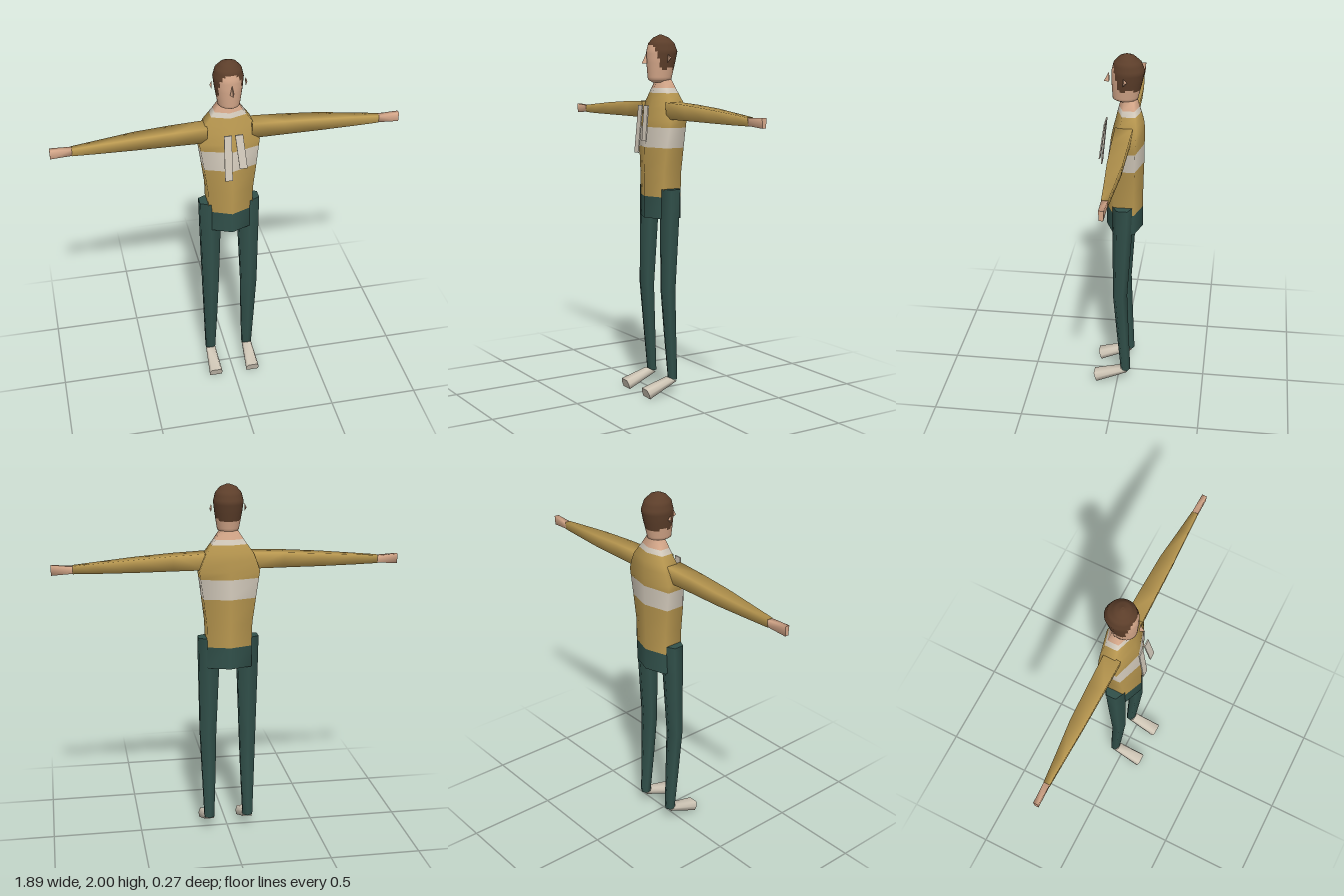
import * as THREE from 'three';
import { ConvexGeometry } from 'three/addons/geometries/ConvexGeometry.js';

const mat = (name, color) => {
  const m = new THREE.MeshStandardMaterial({ color });
  m.name = name;
  return m;
};

// Skin cross-section rings into a closed, smooth body. Rings turn
// counter-clockwise about the direction they run in; pick(row, column) gives
// the material index of each face.
function loft(rings, pick = () => 0, count = 1) {
  const n = rings[0].length;
  const pos = rings.flat(2);
  const lists = Array.from({ length: count }, () => []);
  for (let i = 0; i < rings.length - 1; i++) {
    for (let j = 0; j < n; j++) {
      const k = (j + 1) % n;
      const a = i * n + j, b = i * n + k, c = a + n, d = b + n;
      lists[pick(i, j)].push(a, b, d, a, d, c);
    }
  }
  // End caps with their own vertices
  [0, rings.length - 1].forEach((row) => {
    const base = pos.length / 3;
    pos.push(...rings[row].flat());
    const list = lists[pick(row ? row - 1 : 0, 0)];
    for (let k = 1; k < n - 1; k++) {
      if (row) list.push(base, base + k, base + k + 1);
      else list.push(base, base + k + 1, base + k);
    }
  });
  const geo = new THREE.BufferGeometry();
  geo.setAttribute('position', new THREE.Float32BufferAttribute(pos, 3));
  geo.setIndex(lists.flat());
  let start = 0;
  if (count > 1) lists.forEach((l, m) => { geo.addGroup(start, l.length, m); start += l.length; });
  geo.computeVertexNormals();
  return geo;
}

function add(parent, name, geo, material) {
  const mesh = new THREE.Mesh(geo, material);
  mesh.name = name;
  parent.add(mesh);
  return mesh;
}

const hull = (points) => new ConvexGeometry(points.map((p) => new THREE.Vector3(...p)));

export function createModel() {
  const sweater = mat('mustard wool', 0xb99850);
  const cream = mat('cream wool', 0xd6cdbe);
  const trousers = mat('dark green cloth', 0x31504a);
  const skin = mat('skin', 0xd6a88a);
  const hair = mat('brown hair', 0x5c3e2a);
  const shoeMat = mat('pale shoe', 0xcfc6b6);

  const model = new THREE.Group();
  model.name = 'figure';

  // Torso: six-sided rings [y, half width, front z, back z, colour above]
  const torsoRows = [
    [1.0, 0.121, 0.07, -0.13, 0],
    [1.12, 0.121, 0.07, -0.13, 1],
    [1.25, 0.125, 0.07, -0.13, 1],
    [1.39, 0.143, 0.065, -0.134, 2],
    [1.5, 0.158, 0.05, -0.135, 1],
    [1.54, 0.164, 0.044, -0.135, 1],
    [1.6, 0.143, 0.031, -0.135, 1],
    [1.64, 0.127, 0.02, -0.13, 1],
    [1.685, 0.095, 0.01, -0.117, 2],
    [1.712, 0.076, 0.003, -0.108, 3],
    [1.757, 0.048, -0.01, -0.095, 3],
  ];
  const torsoRings = torsoRows.map(([y, w, f, b]) => {
    const fc = f - 0.26 * (f - b), bc = b + 0.19 * (f - b);
    return [[0, y, f], [w, y, fc], [w, y, bc], [0, y, b], [-w, y, bc], [-w, y, fc]];
  });
  add(model, 'torso', loft(torsoRings, (i) => torsoRows[i][4], 4), [trousers, sweater, cream, skin]);

  // Head: oval rings [y, half width, front z, back z], split finely for the hairline
  const headRows = [
    [1.742, 0.03, 0.01, -0.07],
    [1.758, 0.058, 0.036, -0.098],
    [1.81, 0.067, 0.04, -0.11],
    [1.86, 0.075, 0.043, -0.122],
    [1.91, 0.081, 0.042, -0.132],
    [1.955, 0.07, 0.031, -0.115],
    [1.985, 0.045, 0.003, -0.08],
    [2.0, 0.008, -0.03, -0.046],
  ];
  const fine = [];
  headRows.forEach((row, i) => {
    const next = headRows[i + 1];
    for (let s = 0; s < (next ? 4 : 1); s++) {
      fine.push(next ? row.map((v, k) => THREE.MathUtils.lerp(v, next[k], s / 4)) : row);
    }
  });
  const SEG = 32;
  const headRings = fine.map(([y, w, f, b]) => Array.from({ length: SEG }, (_, j) => {
    const t = (j / SEG) * Math.PI * 2;
    return [w * Math.sin(t), y, (f + b) / 2 + ((f - b) / 2) * Math.cos(t)];
  }));
  // Hairline height by angle away from the front
  const line = [[0, 1.95], [0.5, 1.935], [0.8, 1.9], [1.0, 1.835], [1.2, 1.805], [1.6, 1.82], [3.2, 1.81]];
  const hairline = (a) => {
    const k = line.findIndex((p) => p[0] > a);
    const [p, q] = [line[k - 1], line[k]];
    return THREE.MathUtils.mapLinear(a, p[0], q[0], p[1], q[1]);
  };
  const headPick = (i, j) => {
    const t = ((j + 0.5) / SEG) * Math.PI * 2;
    const y = (fine[i][0] + fine[i + 1][0]) / 2;
    return y > hairline(Math.min(t, Math.PI * 2 - t)) ? 1 : 0;
  };
  add(model, 'head', loft(headRings, headPick, 2), [skin, hair]);
  add(model, 'nose', hull([[0, 1.9, 0.055], [0, 1.846, 0.083], [-0.011, 1.846, 0.055], [0.011, 1.846, 0.055]]), skin);

  // Loose scarf ends hanging in front of the chest
  const strip = (name, x0, x1, shift, low) => {
    const pts = [];
    [0, 0.007].forEach((t) => [x0, x1].forEach((x) => {
      pts.push([x, 1.62, 0.071 + t], [x + shift, low, 0.097 + t]);
    }));
    add(model, name, hull(pts), cream);
  };
  strip('rightScarfEnd', -0.047, -0.006, 0, 1.36);
  strip('leftScarfEnd', 0.012, 0.054, 0.02, 1.428);

  // Limb sections
  const armRing = ([x, top, low, f, b]) => {
    const inset = (f - b) * 0.12;
    return [[x, top, f], [x, low, f - inset], [x, low, b + inset], [x, top, b]];
  };
  const legRing = ([y, cx, w, f, b]) => Array.from({ length: 6 }, (_, j) => {
    const t = (j / 6) * Math.PI * 2;
    return [cx + (w / 0.866) * Math.sin(t), y, (f + b) / 2 + ((f - b) / 2) * Math.cos(t)];
  });
  const shoeRing = ([z, lean, w, low, top]) => [
    [w, 0.5], [w * 0.72, 1], [-w * 0.72, 1], [-w, 0.5], [-w * 0.9, 0], [w * 0.9, 0],
  ].map(([x, h]) => [0.111 + x, low + (top - low) * h, z + lean * h]);

  [['left', 1], ['right', -1]].forEach(([side, sign]) => {
    const limbs = new THREE.Group();
    limbs.name = side + 'Side';
    limbs.scale.x = sign;
    model.add(limbs);

    // Sleeve: [x, top, bottom, front z, back z]
    add(limbs, side + 'Sleeve', loft([
      [0.12, 1.637, 1.546, 0.01, -0.085],
      [0.3, 1.63, 1.546, 0.006, -0.082],
      [0.5, 1.617, 1.545, 0.001, -0.078],
      [0.7, 1.6, 1.544, -0.01, -0.06],
      [0.83, 1.588, 1.545, -0.016, -0.05],
    ].map(armRing)), sweater);
    add(limbs, side + 'Hand', loft([
      [0.828, 1.586, 1.547, -0.017, -0.049],
      [0.944, 1.592, 1.54, -0.018, -0.045],
    ].map(armRing)), skin);

    // Trouser leg: [y, centre x, half width, front z, back z]
    add(limbs, side + 'Leg', loft([
      [0.088, 0.111, 0.027, -0.02, -0.077],
      [0.35, 0.111, 0.037, 0.004, -0.066],
      [0.6, 0.112, 0.045, 0.025, -0.057],
      [1.0, 0.108, 0.056, 0.025, -0.082],
      [1.165, 0.108, 0.058, 0.025, -0.09],
    ].map(legRing)), trousers);

    // Shoe: [bottom z, lean, half width, bottom y, top y]
    add(limbs, side + 'Shoe', loft([
      [-0.06, 0.04, 0.028, 0.078, 0.1],
      [0.12, 0.017, 0.039, 0.004, 0.055],
    ].map(shoeRing)), shoeMat);

    // Small pointed ear, set off from the head
    add(limbs, side + 'Ear', hull([
      [0.1, 1.87, -0.035], [0.09, 1.895, -0.03], [0.09, 1.85, -0.025], [0.09, 1.875, -0.05],
    ]), skin);
  });

  return model;
}
